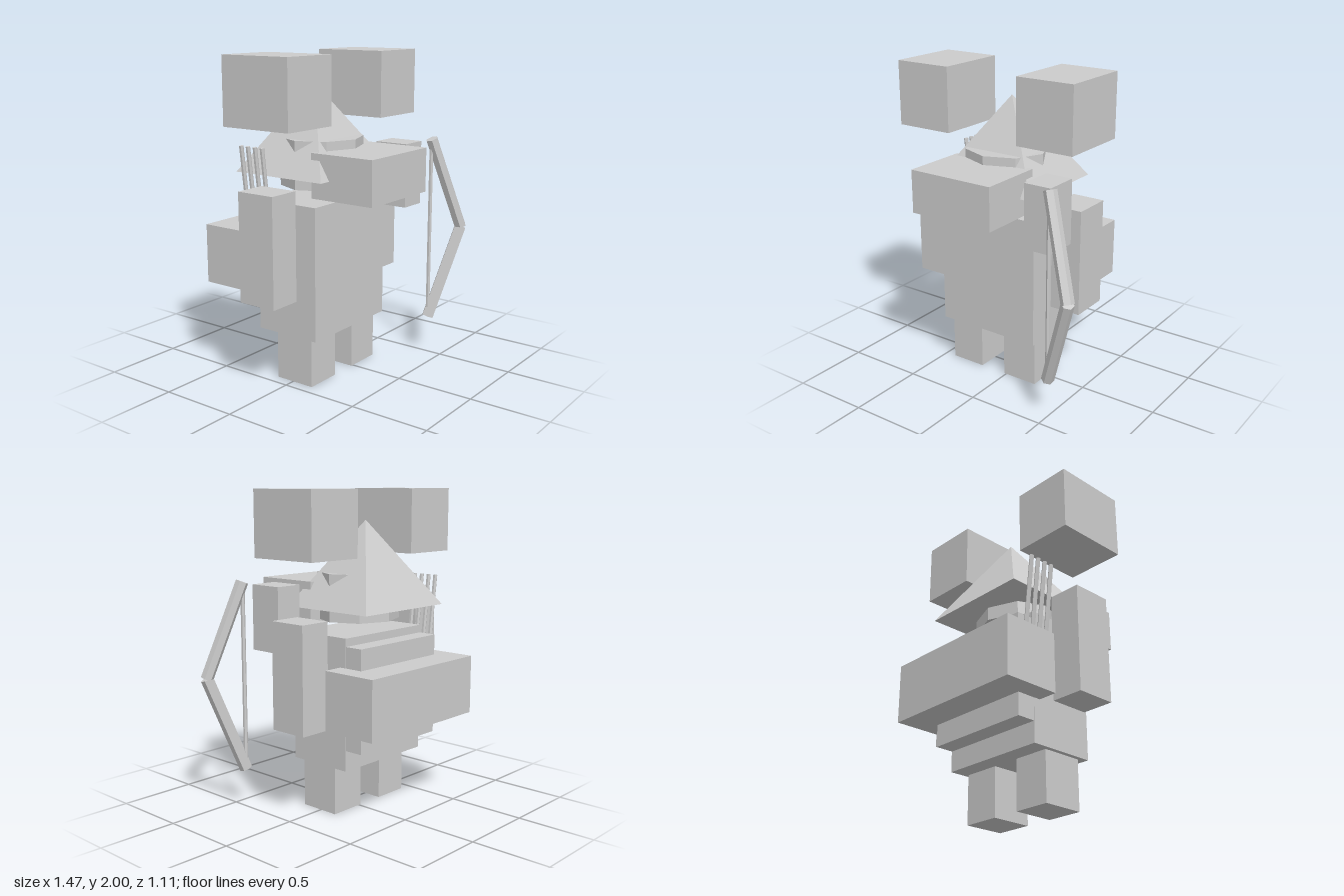
import * as THREE from 'three';

const stone = new THREE.MeshStandardMaterial({ color: 0xcccccc });
stone.name = 'light grey';

export function createModel() {
  const model = new THREE.Group();
  model.name = 'blockyArcher';

  const add = (name, geometry) => {
    const flat = geometry.index ? geometry.toNonIndexed() : geometry;
    flat.computeVertexNormals();
    const mesh = new THREE.Mesh(flat, stone);
    mesh.name = name;
    model.add(mesh);
    return mesh;
  };

  // Box given by its minimum and maximum corners
  const box = (name, [x0, y0, z0], [x1, y1, z1]) =>
    add(name, new THREE.BoxGeometry(x1 - x0, y1 - y0, z1 - z0)
      .translate((x0 + x1) / 2, (y0 + y1) / 2, (z0 + z1) / 2));

  // Six-sided rod between two points
  const rod = (name, from, to, radius) => {
    const a = new THREE.Vector3(...from), b = new THREE.Vector3(...to);
    const dir = b.clone().sub(a);
    const mesh = add(name, new THREE.CylinderGeometry(radius, radius, dir.length(), 6));
    mesh.position.copy(a).add(b).multiplyScalar(0.5);
    mesh.quaternion.setFromUnitVectors(new THREE.Vector3(0, 1, 0), dir.normalize());
  };

  // Body, legs and arms
  box('torso', [-0.46, 0.31, -0.235], [0.25, 1.13, 0.2]);
  box('rightLeg', [-0.43, 0, -0.12], [-0.195, 0.315, 0.145]);
  box('leftLeg', [-0.015, 0, -0.12], [0.225, 0.315, 0.145]);
  box('rightArm', [-0.73, 0.565, -0.145], [-0.525, 1.23, 0.11]);
  box('leftArm', [0.31, 0.565, -0.145], [0.52, 1.23, 0.11]);
  box('leftHand', [0.28, 1.02, 0.12], [0.46, 1.425, 0.345]);

  // Eight-sided head under a pyramid hood, with muzzle and ears
  add('head', new THREE.CylinderGeometry(1, 1, 0.295, 8)
    .scale(0.267, 1, 0.25).translate(-0.103, 1.3425, -0.02));
  add('hood', new THREE.ConeGeometry(Math.SQRT2, 0.53, 4).rotateY(Math.PI / 4)
    .scale(0.363, 1, 0.325).translate(-0.105, 1.545, -0.075));
  box('muzzle', [-0.39, 1.165, 0.12], [0.185, 1.435, 0.548]);
  box('rightEar', [-0.74, 1.595, -0.237], [-0.355, 2, 0.24]);
  box('leftEar', [0.148, 1.595, -0.237], [0.532, 2, 0.24]);

  // Back panel, pack and arrows
  box('backPanel', [-0.458, 0.44, -0.355], [0.248, 1.08, -0.22]);
  box('pack', [-0.583, 0.58, -0.555], [0.378, 0.95, -0.19]);
  for (const z of [-0.303, -0.25, -0.195, -0.14])
    rod('arrow', [-0.467, 0.98, z], [-0.524, 1.455, z], 0.014);

  // Bow: mirrored limbs and a straight string
  const grip = [0.695, 0.845, 0.517];
  for (const [name, y] of [['upperBowLimb', 1.44], ['lowerBowLimb', 0.25]])
    rod(name, [0.494, y, 0.402], grip, 0.04);
  rod('bowString', [0.492, 0.28, 0.402], [0.492, 1.41, 0.402], 0.014);

  return model;
}
